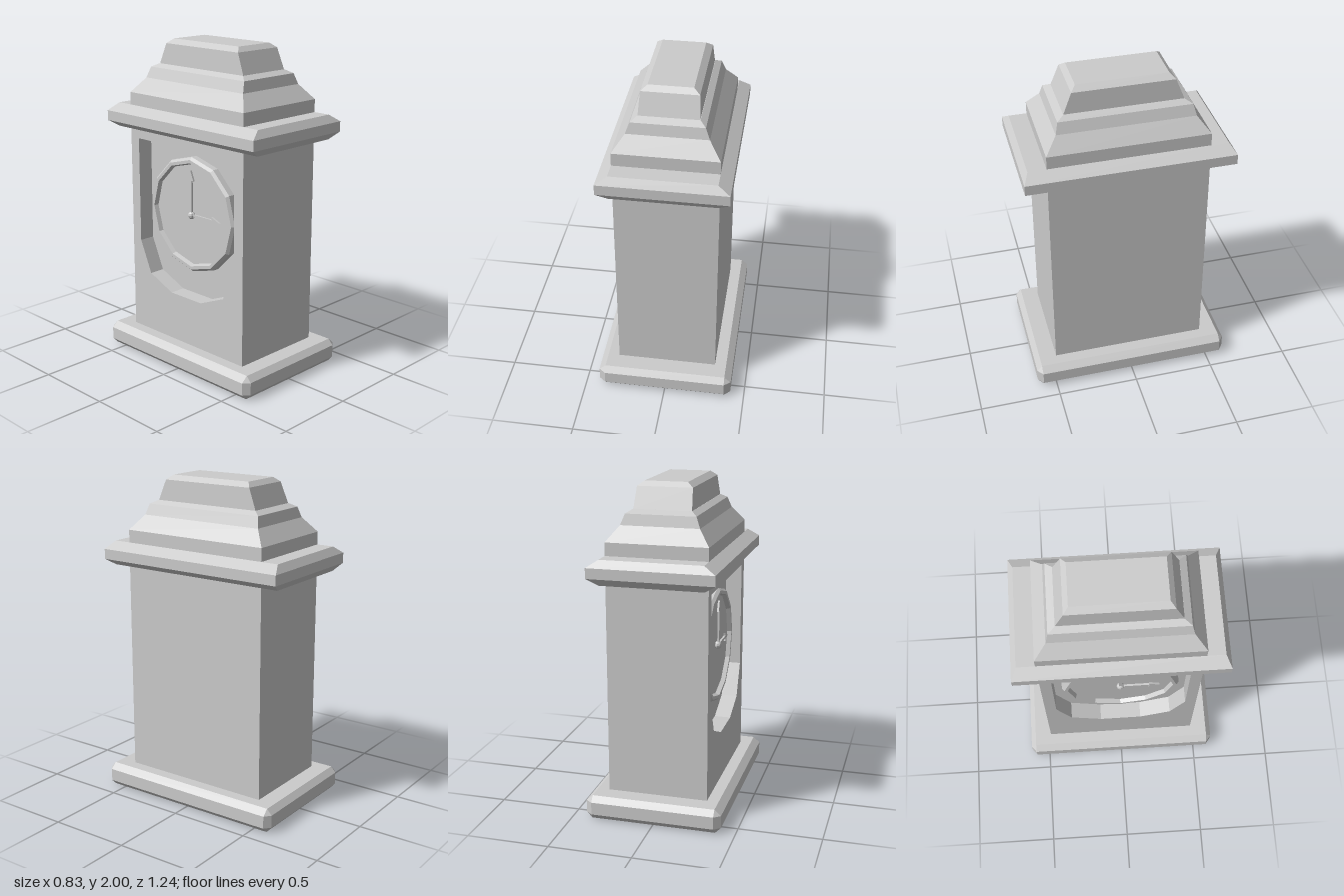
import * as THREE from 'three';

const material = new THREE.MeshStandardMaterial({ color: 0xcccccc, flatShading: true });

function add(parent, name, geometry, x = 0, y = 0, z = 0) {
  const mesh = new THREE.Mesh(geometry, material);
  mesh.name = name;
  mesh.position.set(x, y, z);
  parent.add(mesh);
  return mesh;
}

// Stacked rectangular sections [y, halfX, halfZ, cornerCutX, cornerCutZ], joined and capped.
function stack(sections) {
  const rings = sections.map(([y, x, z, cx = 0, cz = 0]) => [
    [x, z - cz], [x, cz - z], [x - cx, -z], [cx - x, -z],
    [-x, cz - z], [-x, z - cz], [cx - x, z], [x - cx, z],
  ].map(([px, pz]) => new THREE.Vector3(px, y, pz)));
  const points = [];
  const tri = (a, b, c) => {
    const area = b.clone().sub(a).cross(c.clone().sub(a)).length();
    if (area > 1e-7) points.push(a, b, c);
  };
  for (let r = 0; r < rings.length - 1; r++) {
    const lo = rings[r], hi = rings[r + 1];
    for (let i = 0; i < 8; i++) {
      const j = (i + 1) % 8;
      tri(lo[i], lo[j], hi[j]);
      tri(lo[i], hi[j], hi[i]);
    }
  }
  const bottom = rings[0], top = rings[rings.length - 1];
  for (let i = 1; i < 7; i++) {
    tri(top[0], top[i], top[i + 1]);
    tri(bottom[0], bottom[i + 1], bottom[i]);
  }
  const geometry = new THREE.BufferGeometry().setFromPoints(points);
  geometry.computeVertexNormals();
  return geometry;
}

function polygon(points, Type = THREE.Shape) {
  return new Type(points.map(([x, y]) => new THREE.Vector2(x, y)));
}

// Arrow-tipped hand pointing up from the hub
function handGeometry(length) {
  const shape = polygon([
    [-0.008, 0], [0.008, 0], [0.008, length - 0.06], [0.026, length - 0.065],
    [0, length], [-0.026, length - 0.065], [-0.008, length - 0.06],
  ]);
  return new THREE.ExtrudeGeometry(shape, { depth: 0.012, bevelEnabled: false });
}

export function createModel() {
  const model = new THREE.Group();
  model.name = 'mantelClock';

  // Plinth with cut corners
  add(model, 'base', stack([
    [0, 0.38, 0.585], [0.035, 0.415, 0.617, 0.04, 0.032],
    [0.112, 0.415, 0.617, 0.04, 0.032], [0.147, 0.375, 0.585],
  ]));

  // Case: solid core behind a pierced dial plate
  const depth = 0.1, bottom = 0.14, top = 1.45, halfX = 0.305, halfZ = 0.48;
  add(model, 'caseCore', new THREE.BoxGeometry(2 * halfX - depth, top - bottom, 2 * halfZ),
    depth / 2, (top + bottom) / 2, 0);

  const dialSide = new THREE.Group();
  dialSide.name = 'dialSide';
  dialSide.rotation.y = -Math.PI / 2;
  dialSide.position.x = depth - halfX;
  model.add(dialSide);

  const plate = polygon([[-halfZ, bottom], [halfZ, bottom], [halfZ, top], [-halfZ, top]]);
  plate.holes.push(polygon([
    [-0.41, 1.39], [-0.41, 0.73], [-0.32, 0.53], [-0.13, 0.45],
    [0.13, 0.45], [0.32, 0.53], [0.41, 0.73], [0.41, 1.39],
  ], THREE.Path));
  add(dialSide, 'dialPlate', new THREE.ExtrudeGeometry(plate, { depth, bevelEnabled: false }));

  // Dial, rim and hands
  const dialY = 0.97;
  const sides = 12;
  const rimProfile = [[0.36, 0], [0.36, 0.04], [0.345, 0.058], [0.325, 0.058], [0.315, 0.03]]
    .map(([r, h]) => new THREE.Vector2(r, h));
  add(dialSide, 'dialRim', new THREE.LatheGeometry(rimProfile, sides).rotateX(Math.PI / 2), 0, dialY, 0);
  add(dialSide, 'dial', new THREE.CylinderGeometry(0.32, 0.32, 0.032, sides).rotateX(Math.PI / 2),
    0, dialY, 0.016);
  add(dialSide, 'minuteHand', handGeometry(0.28), 0, dialY, 0.042);
  add(dialSide, 'hourHand', handGeometry(0.24), 0, dialY, 0.04).rotation.z = -Math.PI / 2;
  add(dialSide, 'handHub', new THREE.SphereGeometry(0.024, 8, 6), 0, dialY, 0.045);

  // Overhanging cornice
  add(model, 'cornice', stack([
    [1.443, 0.307, 0.588], [1.485, 0.375, 0.62], [1.547, 0.375, 0.62], [1.592, 0.305, 0.588],
  ]));

  // Stepped roof and cap
  add(model, 'roof', stack([
    [1.585, 0.305, 0.48], [1.67, 0.305, 0.48], [1.76, 0.235, 0.408],
    [1.825, 0.21, 0.392], [1.847, 0.175, 0.35],
  ]));
  add(model, 'cap', stack([
    [1.846, 0.173, 0.35], [1.972, 0.165, 0.3], [2, 0.128, 0.27],
  ]));

  return model;
}
